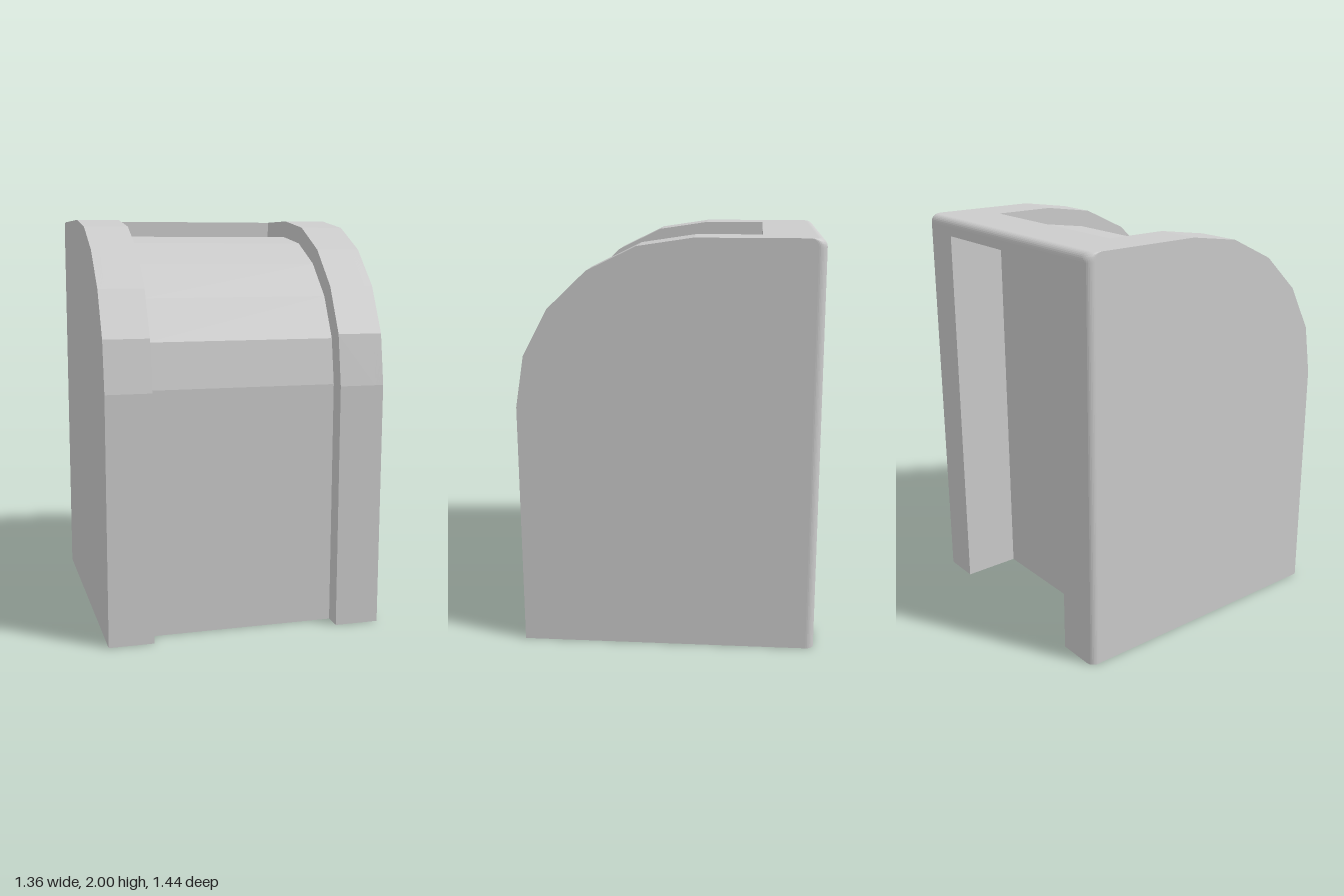
import * as THREE from 'three';

const W = 0.68, IN = 0.46, D = 0.72;      // half width, half channel width, half depth
const STEP = -0.43, LEDGE = 1.915, R = 0.04; // recess end, recess floor, back edge radius

const material = new THREE.MeshStandardMaterial({
  color: 0xcccccc, flatShading: true, side: THREE.DoubleSide,
});

function add(group, name, geometry) {
  const mesh = new THREE.Mesh(geometry, material);
  mesh.name = name;
  group.add(mesh);
}

// Surface through rows of [x, y, z] points; it faces (along row) x (across rows)
function loft(rows) {
  const n = rows[0].length, index = [];
  for (let j = 0; j < rows.length - 1; j++) {
    for (let i = 0; i < n - 1; i++) {
      const a = j * n + i, c = a + n;
      index.push(a, a + 1, c, a + 1, c + 1, c);
    }
  }
  const geometry = new THREE.BufferGeometry();
  geometry.setAttribute('position', new THREE.Float32BufferAttribute(rows.flat(2), 3));
  geometry.setIndex(index);
  geometry.computeVertexNormals();
  return geometry;
}

// Places a [z, y] profile at a given x
const at = (x, profile) => profile.map(([z, y]) => [x, y, z]);

// Front rising from the floor and curving back in five facets
function frontCurve(front, centre, top) {
  const points = [[front, 0]];
  for (let i = 0; i <= 5; i++) {
    const a = (i / 5) * Math.PI / 2;
    points.push([centre + (front - centre) * Math.cos(a), 1.2 + (top - 1.2) * Math.sin(a)]);
  }
  return points;
}

// Rounded edge from the top to the back
function backEdge(inset) {
  const points = [];
  for (let i = 0; i <= 8; i++) {
    const a = (i / 8) * Math.PI / 2;
    points.push([-D + inset + R - R * Math.sin(a), 2 - R + R * Math.cos(a)]);
  }
  return points;
}

const outerCurve = frontCurve(D, -0.12, 2);
const innerCurve = [...frontCurve(0.63, -0.14, LEDGE), [STEP, LEDGE]];
const outerProfile = (inset) => [...outerCurve, ...backEdge(inset), [-D + inset, 0]];

// One hollow side rail, on the -x side
function createRail() {
  const rail = new THREE.Group();

  // Columns across the rail, with the back corner rounded off
  const columns = [[-IN, 0]];
  for (let i = 0; i <= 8; i++) {
    const a = (i / 8) * Math.PI / 2;
    columns.push([-W + R - R * Math.sin(a), R - R * Math.cos(a)]);
  }
  add(rail, 'railShell', loft(columns.map(([x, inset]) => at(x, outerProfile(inset)))));
  add(rail, 'railFoot', loft(columns.map(([x, inset]) => [[x, 0, -D + inset], [x, 0, D]])));

  // Flat outer side
  const shape = new THREE.Shape(outerProfile(R).map(([z, y]) => new THREE.Vector2(z, y)));
  add(rail, 'sideWall', new THREE.ShapeGeometry(shape).rotateY(-Math.PI / 2).translate(-W, 0, 0));

  // Step down to the front panel, and the side of the back recess
  add(rail, 'frontRecessSide', loft([at(-IN, innerCurve), at(-IN, [...outerCurve, [STEP, 2]])]));
  add(rail, 'backRecessSide', loft([
    at(-IN, [[-D, 0], [-D, LEDGE]]), at(-IN, [[STEP, 0], [STEP, LEDGE]]),
  ]));
  return rail;
}

export function createModel() {
  const model = new THREE.Group();
  model.name = 'housing';

  const rightRail = createRail();
  rightRail.name = 'rightRail';
  const leftRail = createRail();
  leftRail.name = 'leftRail';
  leftRail.scale.x = -1;
  model.add(rightRail, leftRail);

  // Panels spanning the two rails
  const span = (name, profile) => add(model, name, loft([at(IN, profile), at(-IN, profile)]));
  span('frontPanel', innerCurve);
  span('topBridge', [[STEP, LEDGE], [STEP, 2], ...backEdge(0), [-D, LEDGE], [STEP, LEDGE]]);
  span('backPanel', [[STEP, LEDGE], [STEP, 0]]);

  return model;
}
